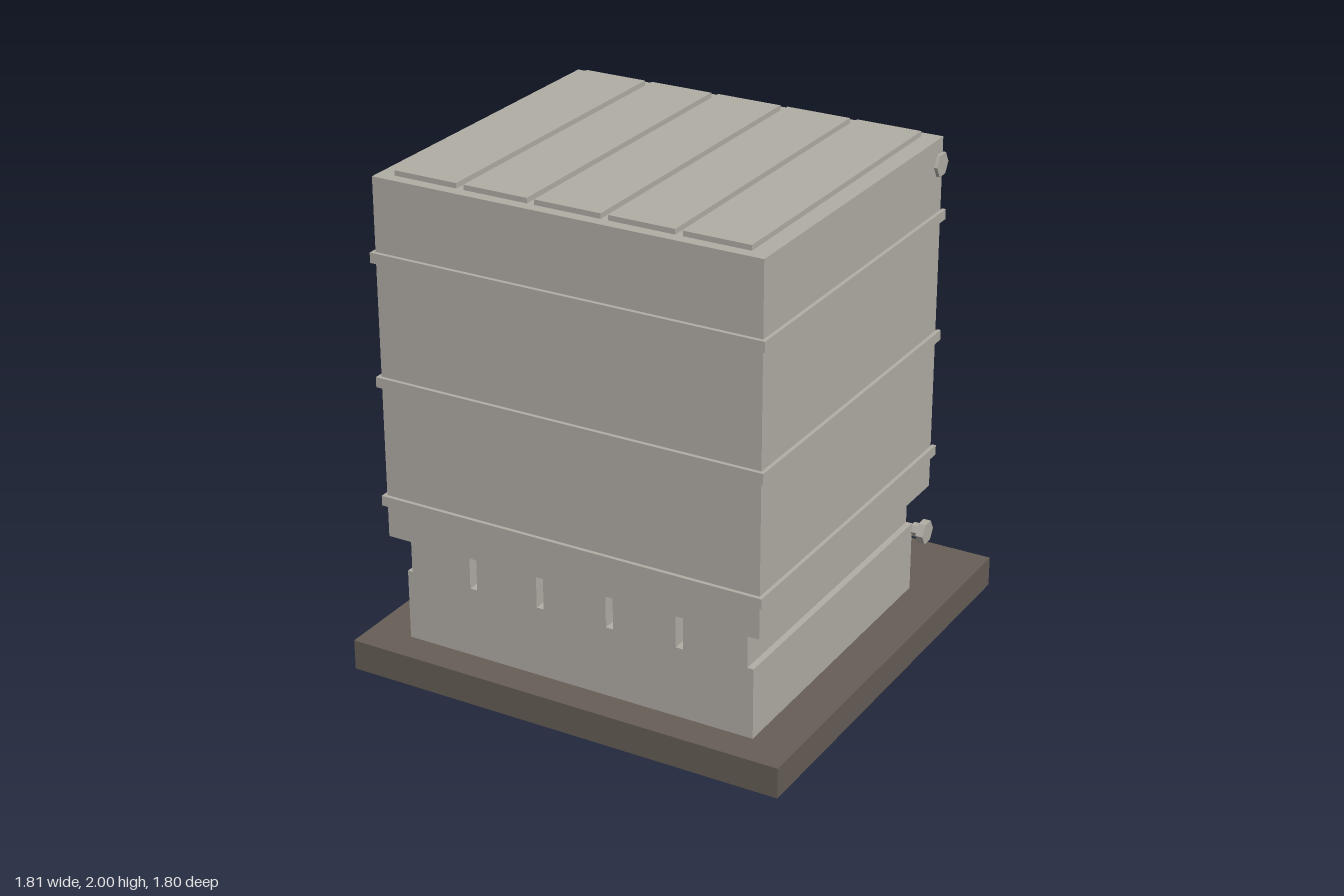
import * as THREE from 'three';
import { toCreasedNormals } from 'three/addons/utils/BufferGeometryUtils.js';

const mat = (name, color) => {
  const m = new THREE.MeshStandardMaterial({ color });
  m.name = name;
  return m;
};

export function createModel() {
  const stone = mat('warm grey casing', 0xb0ada5);
  const slab = mat('dark base', 0x665e56);
  const iron = mat('dark iron', 0x57534e);
  const brick = mat('fire brick', 0x985238);
  const mortar = mat('dark mortar', 0x51301f);
  const coal = mat('pale stones', 0xbdbdb6);

  const root = new THREE.Group();
  root.name = 'furnace';
  const group = (name) => {
    const g = new THREE.Group();
    g.name = name;
    root.add(g);
    return g;
  };
  const add = (parent, name, geo, material) => {
    const m = new THREE.Mesh(geo, material);
    m.name = name;
    parent.add(m);
    return m;
  };
  // box given by its limits on each axis
  const box = (parent, name, material, x0, x1, y0, y1, z0, z1) => {
    const m = add(parent, name, new THREE.BoxGeometry(x1 - x0, y1 - y0, z1 - z0), material);
    m.position.set((x0 + x1) / 2, (y0 + y1) / 2, (z0 + z1) / 2);
    return m;
  };
  // cylinder centred on a point along one axis
  const rod = (parent, name, material, axis, r, len, x, y, z, sides = 12) => {
    const geo = toCreasedNormals(new THREE.CylinderGeometry(r, r, len, sides), 0.6);
    const m = add(parent, name, geo, material);
    if (axis === 'x') m.rotation.z = Math.PI / 2;
    if (axis === 'z') m.rotation.x = Math.PI / 2;
    m.position.set(x, y, z);
    return m;
  };
  const rect = (T, x0, x1, y0, y1) => {
    const s = new T();
    s.moveTo(x0, y0);
    s.lineTo(x1, y0);
    s.lineTo(x1, y1);
    s.lineTo(x0, y1);
    s.closePath();
    return s;
  };
  // rectangular plate with rectangular holes, from z0 to z1
  const plate = (parent, name, material, outer, holes, z0, z1) => {
    const s = rect(THREE.Shape, ...outer);
    holes.forEach((h) => s.holes.push(rect(THREE.Path, ...h)));
    const geo = new THREE.ExtrudeGeometry(s, { depth: z1 - z0, bevelEnabled: false });
    const m = add(parent, name, geo, material);
    m.position.z = z0;
    return m;
  };

  // base and plinth
  box(root, 'baseSlab', slab, -0.905, 0.905, 0, 0.122, -0.9, 0.9);
  const plinth = group('plinth');
  box(plinth, 'plinthBlock', stone, -0.735, 0.735, 0.122, 0.405, -0.515, 0.77);
  const strips = [[-0.715, -0.455], [-0.425, -0.165], [-0.135, 0.13], [0.16, 0.42], [0.45, 0.71]];
  strips.forEach(([a, b], i) => {
    const outer = i === 0 || i === 4;
    box(plinth, 'plinthPier', stone, a, b, 0.405, 0.56, outer ? -0.515 : 0.2, 0.77);
  });
  // ash pit walls
  for (const s of [-1, 1]) {
    box(plinth, 'ashPitSide', stone, s > 0 ? 0.31 : -0.42, s > 0 ? 0.42 : -0.31, 0.405, 0.66, -0.515, 0.21);
  }
  box(plinth, 'ashPitEnd', stone, -0.31, 0.31, 0.405, 0.66, 0.15, 0.2);
  const chute = box(plinth, 'ashChute', stone, -0.3, 0.3, 0.41, 0.42, -0.48, 0.15);
  chute.rotation.x = -0.08;
  chute.position.y = 0.44;

  // casing, hollow around the fire chamber
  const casing = group('casing');
  const W = 0.5, farZ = 0.21, floorY = 0.93, roofY = 1.82, backZ = -0.56;
  for (const s of [-1, 1]) {
    box(casing, 'sideWall', stone, s > 0 ? W : -0.78, s > 0 ? 0.78 : -W, 0.56, 1.98, -0.5, 0.815);
    box(casing, 'lowerSide', stone, s > 0 ? 0.31 : -W, s > 0 ? W : -0.31, 0.56, floorY, -0.5, farZ);
  }
  box(casing, 'frontWall', stone, -W, W, 0.56, 1.98, farZ, 0.815);
  box(casing, 'roof', stone, -W, W, roofY, 1.98, -0.5, farZ);
  box(casing, 'hearth', stone, -0.31, 0.31, 0.65, floorY, -0.5, farZ);
  const fire = [-0.36, 0.36, 1.095, 1.54];
  const ash = [-0.29, 0.29, 0.5601, 0.62];
  plate(casing, 'backWall', stone, [-0.78, 0.78, 0.56, 1.98], [fire, ash], backZ, -0.5);
  strips.forEach(([a, b]) => box(casing, 'roofPanel', stone, a, b, 1.98, 2, -0.52, 0.77));

  // reinforcing bands with end bolts
  const bands = group('bands');
  for (const y of [0.71, 1.19, 1.675]) {
    const a = y - 0.02, b = y + 0.02;
    box(bands, 'frontBand', stone, -0.795, 0.795, a, b, 0.815, 0.83);
    for (const s of [-1, 1]) {
      box(bands, 'sideBand', stone, s > 0 ? 0.78 : -0.795, s > 0 ? 0.795 : -0.78, a, b, -0.575, 0.815);
      rod(bands, 'bandBolt', stone, 'z', 0.015, 0.03, s * 0.72, y, -0.575, 6);
      box(bands, 'backSeam', stone, s > 0 ? 0.42 : -0.78, s > 0 ? 0.78 : -0.42, a, a + 0.01, -0.566, backZ);
    }
  }

  // doors and frames on the back
  const doors = group('doors');
  plate(doors, 'fireDoorFrame', stone, [-0.4, 0.4, 1.06, 1.575], [fire], -0.575, backZ);
  box(doors, 'upperPanel', stone, -0.24, 0.39, 1.58, 1.865, -0.58, backZ);
  box(doors, 'inspectionPlate', stone, -0.705, -0.425, 0.85, 1.13, -0.572, backZ);
  plate(doors, 'ashDoorFrame', stone, [-0.345, 0.345, 0.395, 0.65], [[-0.29, 0.29, 0.43, 0.62]], -0.575, -0.515);
  rod(doors, 'pivotPlate', iron, 'z', 0.03, 0.014, 0.39, 1.88, -0.575, 12);
  rod(doors, 'pivotBolt', iron, 'z', 0.017, 0.03, 0.39, 1.88, -0.59, 6);

  // brick lining with mortar lines
  const lining = group('fireChamber');
  for (const s of [-1, 1]) {
    const at = (p, q) => (s > 0 ? [W - q, W - p] : [q - W, p - W].sort((u, v) => u - v));
    box(lining, 'sideLining', brick, ...at(0, 0.005), floorY, roofY, -0.5, farZ);
    for (let y = 1.08; y < roofY; y += 0.15) box(lining, 'mortarLine', mortar, ...at(0, 0.008), y, y + 0.01, -0.5, farZ);
    for (let z = -0.32; z < farZ; z += 0.2) box(lining, 'mortarLine', mortar, ...at(0, 0.008), floorY, roofY, z, z + 0.01);
  }
  box(lining, 'farLining', brick, -W, W, floorY, roofY, farZ - 0.005, farZ);
  for (let y = 1.08; y < roofY; y += 0.15) box(lining, 'mortarLine', mortar, -W, W, y, y + 0.01, farZ - 0.008, farZ);
  for (let x = -0.3; x < W; x += 0.2) box(lining, 'mortarLine', mortar, x, x + 0.01, floorY, roofY, farZ - 0.008, farZ);
  box(lining, 'ceilingLining', brick, -W, W, roofY - 0.006, roofY, -0.5, farZ);
  for (let x = -0.45; x < 0.5; x += 0.09) box(lining, 'grateBar', coal, x, x + 0.045, floorY, 0.965, -0.5, farZ - 0.01);

  // heap of stones on the grate
  let seed = 7;
  const rnd = () => (seed = (seed * 16807) % 2147483647) / 2147483647;
  const stoneGeo = new THREE.DodecahedronGeometry(0.042);
  for (let i = 0; i < 8; i++) {
    for (let j = 0; j < 6; j++) {
      const m = add(lining, 'stone', stoneGeo, coal);
      m.position.set(-0.38 + i * 0.105 + rnd() * 0.04, 0.99 + rnd() * 0.06, -0.3 + j * 0.085 + rnd() * 0.03);
      m.rotation.set(rnd() * 3, rnd() * 3, rnd() * 3);
      m.scale.set(1, 0.75, 1);
    }
  }

  // tie rod with hexagonal ends, and upper tie bolts
  const ties = group('tieRods');
  rod(ties, 'tieRod', stone, 'x', 0.02, 1.56, 0, 0.37, -0.537, 16);
  for (const s of [-1, 1]) {
    rod(ties, 'rodHead', stone, 'x', 0.048, 0.03, s * 0.778, 0.37, -0.537, 6);
    rod(ties, 'rodNut', stone, 'x', 0.028, 0.03, s * 0.745, 0.37, -0.537, 6);
    rod(ties, 'upperTieHead', stone, 'x', 0.048, 0.03, s * 0.778, 1.88, -0.537, 6);
    rod(ties, 'backRivet', stone, 'z', 0.01, 0.03, s * 0.715, 1.88, -0.575, 6);
  }

  // gauge: two valves joined by thin rods, and a drain cock
  const gauge = group('gauge');
  const gx = 0.63;
  [[1.7, 1.655], [1.04, 1.087]].forEach(([y, armY]) => {
    rod(gauge, 'valveFlange', iron, 'z', 0.042, 0.014, gx, y, -0.568, 16);
    rod(gauge, 'valveStem', iron, 'z', 0.011, 0.12, gx, y, -0.62);
    rod(gauge, 'valveBody', iron, 'z', 0.02, 0.035, gx, y, -0.605, 6);
    rod(gauge, 'valveNut', iron, 'z', 0.016, 0.014, gx, y, -0.655, 6);
    rod(gauge, 'valveHandle', iron, 'x', 0.009, 0.1, gx, y, -0.655);
    rod(gauge, 'valveArm', iron, 'y', 0.012, Math.abs(y - armY), gx, (y + armY) / 2, -0.61);
    box(gauge, 'rodBracket', iron, 0.59, 0.69, armY - 0.007, armY + 0.007, -0.655, -0.585);
  });
  for (const x of [0.6, 0.68]) rod(gauge, 'gaugeRod', iron, 'y', 0.004, 0.568, x, 1.371, -0.645, 8);
  rod(gauge, 'drainStem', iron, 'z', 0.007, 0.11, gx, 0.915, -0.615);
  rod(gauge, 'drainNut', iron, 'z', 0.017, 0.03, gx, 0.915, -0.635, 6);

  return root;
}
